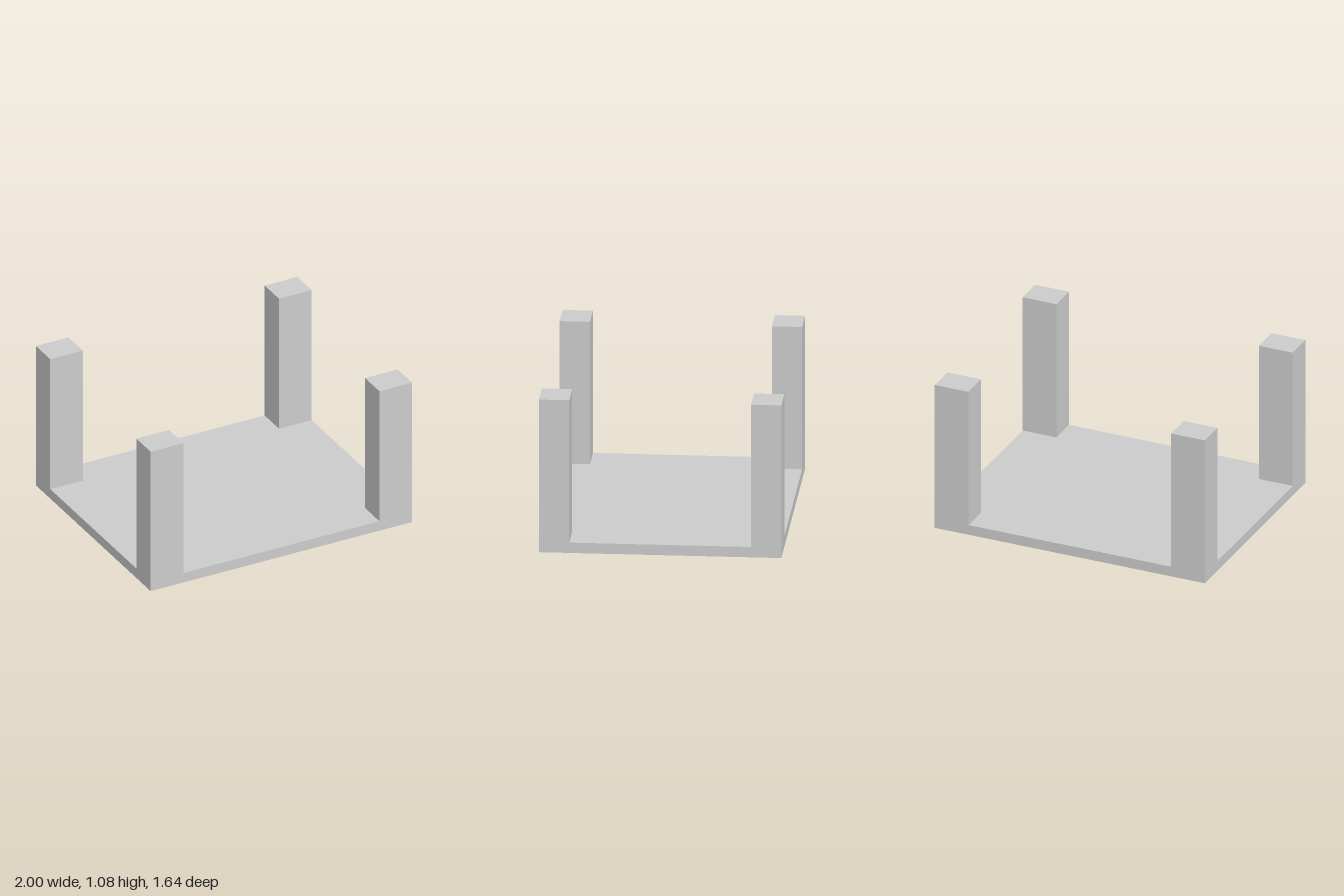
import * as THREE from 'three';

export function createModel() {
  const model = new THREE.Group();
  model.name = 'upturnedTable';
  const material = new THREE.MeshStandardMaterial({ color: 0xcccccc, flatShading: true });

  const width = 2, depth = 1.64, height = 1.08, thickness = 0.073;
  const legWidth = 0.25, legDepth = 0.205, legHeight = height - thickness;

  // Flat slab lying on the ground
  const slab = new THREE.Mesh(new THREE.BoxGeometry(width, thickness, depth), material);
  slab.name = 'tableTop';
  slab.position.y = thickness / 2;
  model.add(slab);

  // Four upright legs, flush with the corners of the slab
  const legGeometry = new THREE.BoxGeometry(legWidth, legHeight, legDepth);
  for (const [zName, sz] of [['front', 1], ['back', -1]]) {
    for (const [xName, sx] of [['Left', 1], ['Right', -1]]) {
      const leg = new THREE.Mesh(legGeometry, material);
      leg.name = `${zName}${xName}Leg`;
      leg.position.set(
        sx * (width - legWidth) / 2,
        thickness + legHeight / 2,
        sz * (depth - legDepth) / 2
      );
      model.add(leg);
    }
  }
  return model;
}
